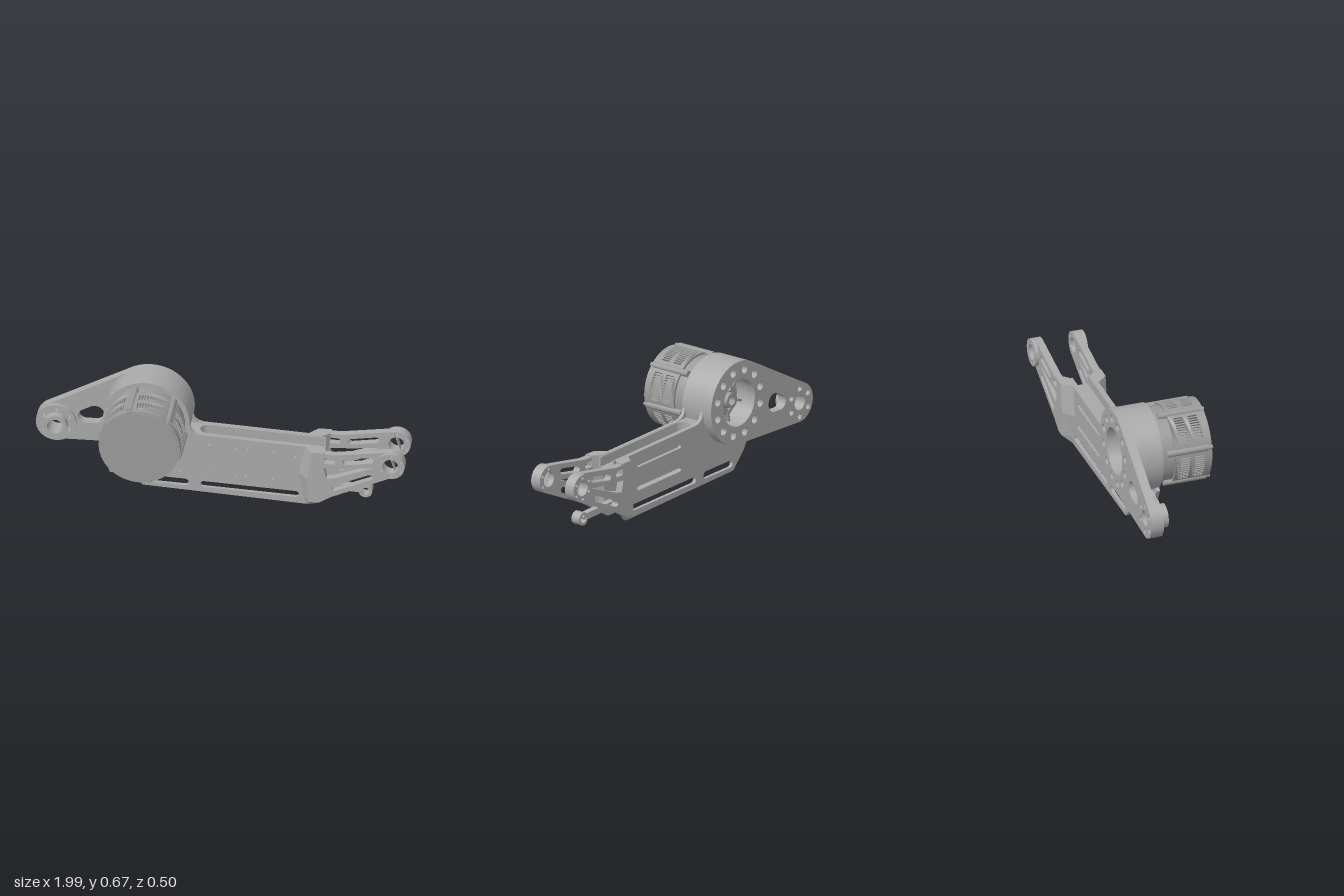
import * as THREE from 'three';
import { toCreasedNormals } from 'three/addons/utils/BufferGeometryUtils.js';

const TAU = Math.PI * 2;
const MX = -0.39, MY = 0.445; // motor axis
const PX = -0.89, PY = 0.315; // swing arm pivot
const EX = 0.92, EY = 0.315;  // fork eye
const MID = -0.101;           // centre plane of the link body

export function createModel() {
  const model = new THREE.Group();
  const frameMat = new THREE.MeshStandardMaterial({ color: 0xa9a9a9 });
  frameMat.name = 'light grey metal';
  const motorMat = new THREE.MeshStandardMaterial({ color: 0x9a9a9a });
  motorMat.name = 'motor grey';

  const add = (name, geo, mat = frameMat) => {
    const mesh = new THREE.Mesh(geo, mat);
    mesh.name = name;
    model.add(mesh);
    return mesh;
  };
  const poly = (pts) => new THREE.Shape(pts.map(([x, y]) => new THREE.Vector2(x, y)));
  const circle = (x, y, r) => new THREE.Shape().absarc(x, y, r, 0, TAU, false);
  // Outline around two circles: rods, slots and tapered arms
  const hull = (x1, y1, r1, x2, y2, r2 = r1) => {
    const th = Math.atan2(y2 - y1, x2 - x1);
    const a = Math.acos((r1 - r2) / Math.hypot(x2 - x1, y2 - y1));
    const s = new THREE.Shape();
    s.absarc(x2, y2, r2, th - a, th + a, false);
    s.absarc(x1, y1, r1, th + a, th - a + TAU, false);
    s.closePath();
    return s;
  };
  const slab = (shape, z0, z1, holes = [], curveSegments = 20) => {
    shape.holes.push(...holes);
    const g = new THREE.ExtrudeGeometry(shape, { depth: z1 - z0, bevelEnabled: false, curveSegments });
    g.translate(0, 0, z0);
    return toCreasedNormals(g, 0.6);
  };
  const holeRing = (cx, cy, R, r, n, start = 0) => Array.from({ length: n }, (_, i) => {
    const a = start + (i / n) * TAU;
    return circle(cx + R * Math.cos(a), cy + R * Math.sin(a), r);
  });

  // Side plates of the link body
  const outline = [[-0.163, 0.445], [-0.2, 0.4], [-0.25, 0.3], [-0.39, 0.25], [-0.52, 0.29], [-0.56, 0.26],
    [-0.5, 0.15], [-0.41, 0.05], [0.467, 0.004], [0.425, 0.19], [0.46, 0.355], [-0.1, 0.38], [-0.13, 0.388], [-0.15, 0.405]];
  const longSlots = () => [hull(-0.385, 0.092, 0.02, -0.185, 0.085), hull(-0.085, 0.08, 0.018, 0.405, 0.06)];
  const screwHoles = [[-0.06, 0.325], [0.085, 0.315], [0.14, 0.315], [0.285, 0.31], [-0.215, 0.245], [0.4, 0.29],
    [-0.215, 0.15], [-0.065, 0.16], [0.08, 0.15], [0.135, 0.15], [0.28, 0.145]].map(([x, y]) => circle(x, y, 0.008));
  add('frontSidePlate', slab(poly(outline), -0.05, -0.03, [...longSlots(), ...screwHoles], 8));
  add('rearSidePlate', slab(poly(outline), -0.172, -0.152,
    [...longSlots(), hull(0.03, 0.3, 0.011, 0.37, 0.285), hull(0.03, 0.17, 0.011, 0.37, 0.155)], 8));

  // Top channel: walls with a rounded end, sloping with the body, over a floor
  const channel = new THREE.Shape();
  channel.moveTo(0.55, 0.051);
  channel.lineTo(-0.19, 0.051);
  channel.lineTo(-0.19, -0.051);
  channel.lineTo(0.55, -0.051);
  channel.lineTo(0.55, -0.042);
  channel.lineTo(-0.07, -0.042);
  channel.absarc(-0.07, 0, 0.042, -Math.PI / 2, Math.PI / 2, true);
  channel.lineTo(0.55, 0.042);
  const slope = (g) => {
    const p = g.attributes.position;
    for (let i = 0; i < p.count; i++) p.setY(i, p.getY(i) - 0.045 * (p.getX(i) + 0.1));
    return g;
  };
  const walls = slab(channel, 0.29, 0.379);
  walls.rotateX(-Math.PI / 2).translate(0, 0, MID);
  add('channelWalls', slope(walls));
  add('channelFloor', slab(poly([[-0.19, 0.28], [0.55, 0.262], [0.55, 0.298], [-0.19, 0.325]]), -0.153, -0.049));

  // Flared shoulders joining each side plate to its fork arm, lofted upward
  const shoulder = (s) => {
    // y, start x, end x, outward growth (0..1)
    const rows = [[0.004, 0.462, 0.475, 0], [0.05, 0.448, 0.535, 1], [0.19, 0.422, 0.55, 1], [0.355, 0.455, 0.57, 1]];
    const rings = rows.map(([y, a, b, w]) => {
      const k = (b - a) * 0.4;
      return [[a, 0.071], [a + k, 0.071 + 0.055 * w], [b, 0.071 + 0.055 * w], [b, 0.052 + 0.034 * w], [a + k * 1.7, 0.051], [a, 0.051]]
        .map(([x, d]) => [x, y, MID + s * d]);
    });
    const v = [];
    const tri = (a, b, c) => v.push(...(s > 0 ? [a, b, c] : [a, c, b]).flat());
    for (let r = 0; r < rings.length - 1; r++) {
      for (let i = 0; i < 6; i++) {
        const j = (i + 1) % 6, lo = rings[r], hi = rings[r + 1];
        tri(lo[i], lo[j], hi[j]);
        tri(lo[i], hi[j], hi[i]);
      }
    }
    const top = rings[3], bottom = rings[0];
    for (const [a, b, c] of [[0, 1, 4], [0, 4, 5], [1, 2, 3], [1, 3, 4]]) {
      tri(top[a], top[b], top[c]);
      tri(bottom[a], bottom[c], bottom[b]);
    }
    const g = new THREE.BufferGeometry();
    g.setAttribute('position', new THREE.Float32BufferAttribute(v, 3));
    g.computeVertexNormals();
    return g;
  };

  // Fork: two slotted arms with bolted eyes
  for (const s of [1, -1]) {
    const side = s > 0 ? 'front' : 'rear';
    const span = (d0, d1) => [MID + s * d0, MID + s * d1].sort((a, b) => a - b);
    add(side + 'Shoulder', shoulder(s));
    const arm = poly([[0.5, 0.352], [0.5, 0.052], [0.535, 0.05], [0.6, 0.09], [0.95, 0.247], [0.91, 0.389], [0.86, 0.383], [0.62, 0.347]]);
    add(side + 'ForkArm', slab(arm, ...span(0.086, 0.126), [
      circle(EX, EY, 0.044),
      hull(0.535, 0.312, 0.017, 0.605, 0.308), hull(0.68, 0.31, 0.017, 0.81, 0.331),
      poly([[0.56, 0.262], [0.575, 0.2], [0.62, 0.208], [0.83, 0.287], [0.7, 0.272]]),
      hull(0.62, 0.146, 0.016, 0.805, 0.226),
    ]));
    add(side + 'ForkEye', slab(circle(EX, EY, 0.075), ...span(0.086, 0.146),
      [circle(EX, EY, 0.042), ...holeRing(EX, EY, 0.059, 0.008, 6, 0.5)]));
  }

  // Push rod between the plates, with an eye and a clevis
  add('pushRod', slab(hull(0.74, 0.083, 0.018, -0.42, 0.145), -0.121, -0.085));
  add('pushRodEye', slab(circle(0.77, 0.08, 0.036), -0.128, -0.074, [circle(0.77, 0.08, 0.022)]));
  for (const z of [-0.145, -0.077]) add('clevisEar', slab(hull(-0.43, 0.148, 0.028, -0.535, 0.21, 0.04), z, z + 0.02));
  add('clevisPin', slab(circle(-0.535, 0.21, 0.025), -0.15, -0.052));
  add('crank', slab(hull(-0.535, 0.21, 0.03, -0.45, 0.28, 0.03), -0.124, -0.078));

  // Motor housing, open to the rear
  add('housing', slab(circle(MX, MY, 0.23), -0.178, -0.031, [circle(MX, MY, 0.135)], 40));
  add('housingFloor', slab(circle(MX, MY, 0.14), -0.1, -0.04, [], 32));
  add('outputHub', slab(circle(MX, MY, 0.09), -0.135, -0.1, holeRing(MX, MY, 0.062, 0.016, 6)), motorMat);
  add('outputShaft', slab(circle(MX, MY, 0.042), -0.18, -0.1, [circle(MX, MY, 0.025)]), motorMat);
  for (let i = 0; i < 6; i++) {
    const a = (i / 6) * TAU + 0.3;
    const web = new THREE.BoxGeometry(0.06, 0.012, 0.04);
    web.translate(0.108, 0, 0).rotateZ(a).translate(MX, MY, -0.12);
    add('hubWeb', web, motorMat);
  }

  // Swing arm with its bolted disc and pivot boss
  add('swingArm', slab(hull(PX, PY, 0.108, MX, MY, 0.23), -0.228, -0.178, [
    circle(MX, MY, 0.13), ...holeRing(MX, MY, 0.18, 0.022, 12, 0.26),
    hull(-0.735, 0.357, 0.04, -0.685, 0.37, 0.052),
    circle(PX, PY, 0.042), ...holeRing(PX, PY, 0.078, 0.016, 6, Math.PI / 6),
  ], 36));
  add('pivotFlange', slab(circle(PX, PY, 0.107), -0.179, -0.157,
    [circle(PX, PY, 0.042), ...holeRing(PX, PY, 0.08, 0.011, 6, Math.PI / 6)], 32));
  add('pivotBoss', slab(circle(PX, PY, 0.064), -0.158, -0.115, [circle(PX, PY, 0.042)], 32));

  // Motor neck, inner core and front cap
  const drum = (name, r, z0, z1) => add(name, slab(circle(MX, MY, r), z0, z1, [], 40), motorMat);
  drum('motorNeck', 0.205, -0.032, 0.042);
  drum('motorCore', 0.198, 0.04, 0.21);
  drum('motorCap', 0.2165, 0.204, 0.243);
  drum('motorFace', 0.207, 0.242, 0.248);

  // Vented motor shell: a flat slotted panel bent around the motor axis, six times
  const R = 0.217, HALF = Math.PI / 6;
  const ventPanel = (angle) => {
    const edge = [];
    for (let i = 0; i <= 20; i++) edge.push([(-1 + i / 10) * HALF, 0.04]);
    for (let i = 20; i >= 0; i--) edge.push([(-1 + i / 10) * HALF, 0.205]);
    const vents = [];
    for (let i = -5; i <= 5; i++) {
      const u = i * 0.067, h = 0.019;
      for (const [a, b] of [[0.067, 0.122], [0.146, 0.201]]) {
        vents.push(poly([[u - h, a + 0.004], [u, a], [u + h, a + 0.004], [u + h, b - 0.004], [u, b], [u - h, b - 0.004]]));
      }
    }
    const shape = poly(edge);
    shape.holes.push(...vents);
    const g = new THREE.ExtrudeGeometry(shape, { depth: 0.016, bevelEnabled: false });
    const p = g.attributes.position;
    for (let i = 0; i < p.count; i++) {
      const a = angle + p.getX(i), r = R - 0.016 + p.getZ(i), z = p.getY(i);
      p.setXYZ(i, MX + r * Math.cos(a), MY + r * Math.sin(a), z);
    }
    // The bend swaps (angle, z, radius) into a right-handed order again
    for (let i = 0; i < p.count; i += 3) {
      const q = [p.getX(i + 1), p.getY(i + 1), p.getZ(i + 1)];
      p.setXYZ(i + 1, p.getX(i + 2), p.getY(i + 2), p.getZ(i + 2));
      p.setXYZ(i + 2, ...q);
    }
    return toCreasedNormals(unflip(g), 0.6);
  };
  // Turns triangles outward if the first cap faces the wrong way
  const unflip = (g) => {
    const p = g.attributes.position;
    let volume = 0;
    const t = [0, 1, 2].map(() => new THREE.Vector3());
    for (let i = 0; i < p.count; i += 3) {
      t.forEach((v, k) => v.fromBufferAttribute(p, i + k));
      volume += t[0].dot(t[1].clone().cross(t[2]));
    }
    if (volume < 0) {
      for (let i = 0; i < p.count; i += 3) {
        t.forEach((v, k) => v.fromBufferAttribute(p, i + k));
        p.setXYZ(i + 1, t[2].x, t[2].y, t[2].z);
        p.setXYZ(i + 2, t[1].x, t[1].y, t[1].z);
      }
    }
    return g;
  };

  // Shell panels with a bolt rib at each seam
  for (let i = 0; i < 6; i++) {
    const a = -0.257 + (i / 6) * TAU;
    const x = MX + 0.211 * Math.cos(a), y = MY + 0.211 * Math.sin(a);
    add('ventPanel', ventPanel(a + HALF), motorMat);
    add('boltRib', slab(circle(x, y, 0.018), -0.006, 0.228, [], 10), motorMat);
    add('bolt', slab(circle(x, y, 0.012), 0.228, 0.25, [circle(x, y, 0.006)], 8), motorMat);
  }
  return model;
}
